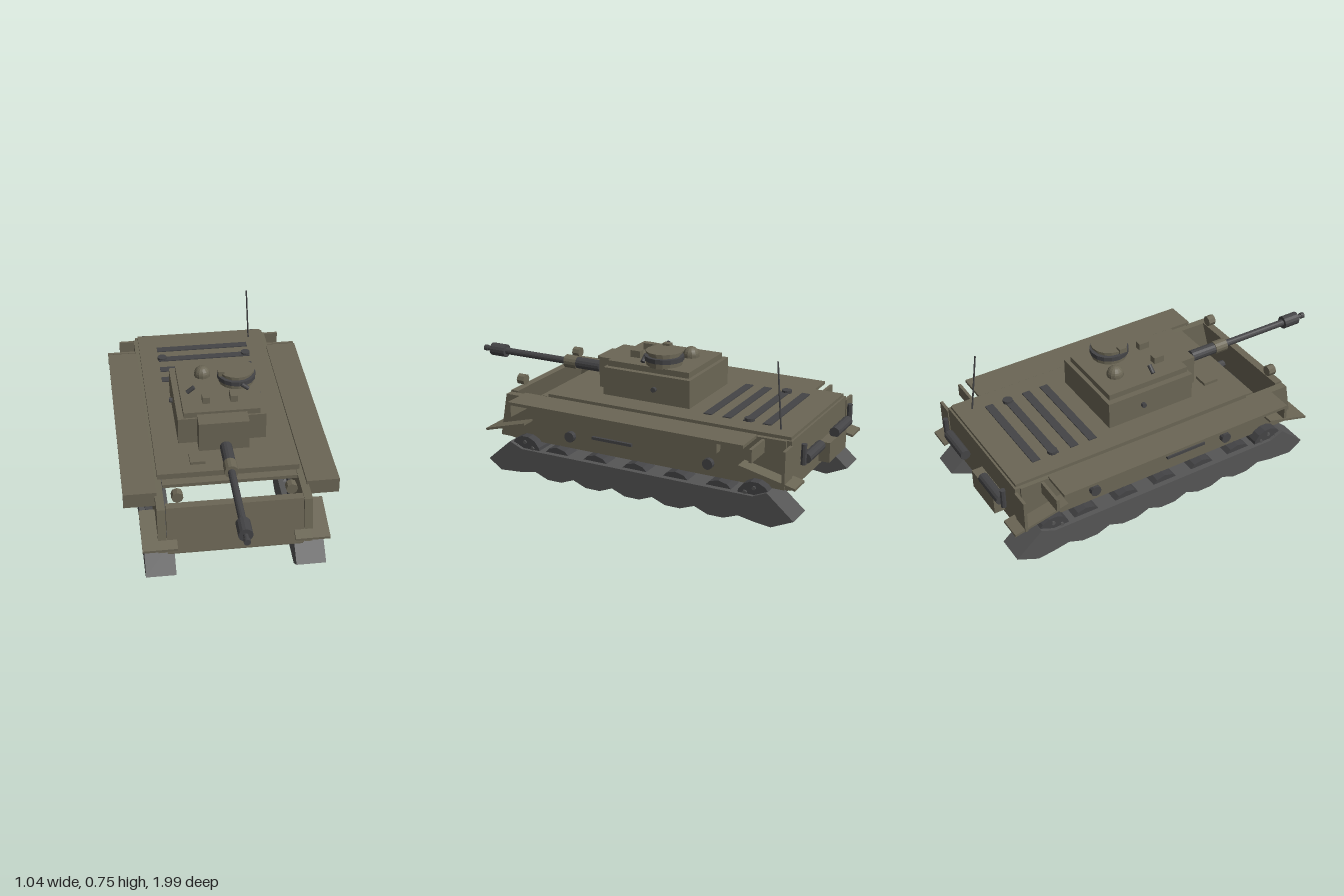
import * as THREE from 'three';

const mat = (color) => new THREE.MeshStandardMaterial({ color, flatShading: true, side: THREE.DoubleSide });

export function createModel() {
  const model = new THREE.Group();
  const olive = mat(0x6b6655), dark = mat(0x444446), track = mat(0x555555);

  const add = (name, geo, material, x = 0, y = 0, z = 0) => {
    const m = new THREE.Mesh(geo, material);
    m.name = name;
    m.position.set(x, y, z);
    model.add(m);
    return m;
  };
  // box given by its limits on each axis
  const box = (name, [x0, x1], [y0, y1], [z0, z1], material = olive) =>
    add(name, new THREE.BoxGeometry(x1 - x0, y1 - y0, z1 - z0), material,
      (x0 + x1) / 2, (y0 + y1) / 2, (z0 + z1) / 2);
  const cyl = (name, r, len, axis, pos, material = dark, sides = 12, r2 = r) => {
    const g = new THREE.CylinderGeometry(r, r2, len, sides);
    if (axis === 'x') g.rotateZ(-Math.PI / 2);
    if (axis === 'z') g.rotateX(Math.PI / 2);
    return add(name, g, material, ...pos);
  };
  // side profile of [z, y] points extruded from x0 to x1
  const profile = (name, pts, x0, x1, material = olive) => {
    const shape = new THREE.Shape(pts.map(([z, y]) => new THREE.Vector2(-z, y)));
    const g = new THREE.ExtrudeGeometry(shape, { depth: x1 - x0, bevelEnabled: false });
    g.rotateY(Math.PI / 2);
    return add(name, g, material, x0, 0, 0);
  };
  // same part on both sides, x limits given for the left side
  const sides = (fn) => [1, -1].forEach((s) => fn(s, (a, b) => (s > 0 ? [a, b] : [-b, -a])));

  // hull shell, open underneath and behind the nose plate
  sides((s, span) => {
    profile('hullSide', [[0.655, 0.18], [0.615, 0.405], [-0.9, 0.42], [-0.9, 0.18]], ...span(0.33, 0.37));
  });
  profile('nosePlate', [[0.655, 0.175], [0.615, 0.413], [0.575, 0.413], [0.63, 0.175]], -0.327, 0.327);
  profile('lowerNosePlate', [[0.65, 0.18], [0.43, 0.14], [0.43, 0.12], [0.65, 0.165]], -0.325, 0.325);
  box('driverPlate', [-0.327, 0.327], [0.395, 0.413], [0.39, 0.435]);
  box('deck', [-0.347, 0.347], [0.405, 0.435], [-0.915, 0.38]);
  box('rearPlate', [-0.36, 0.36], [0.18, 0.42], [-0.925, -0.895]);
  profile('rearLowerPlate', [[-0.92, 0.18], [-0.9, 0.18], [-0.84, 0.13], [-0.86, 0.12]], -0.29, 0.29);
  box('rearStowageBox', [-0.23, 0], [0.2, 0.3], [-0.98, -0.92]);

  // mudguards and hull side fittings
  sides((s, span) => {
    box('sideFender', span(0.36, 0.52), [0.41, 0.425], [-0.755, 0.505]);
    box('frontFenderFlap', span(0.36, 0.52), [0.348, 0.412], [0.49, 0.505]);
    box('rearFenderFlap', span(0.37, 0.52), [0.348, 0.412], [-0.797, -0.782]);
    profile('frontMudguard', [[0.695, 0.22], [0.695, 0.232], [0.465, 0.295], [0.465, 0.283]], ...span(0.36, 0.447));
    profile('frontMudguardLip', [[0.695, 0.22], [0.695, 0.232], [0.63, 0.25], [0.63, 0.238]], ...span(0.28, 0.36));
    profile('rearMudguard', [[-0.98, 0.22], [-0.98, 0.232], [-0.7, 0.295], [-0.7, 0.283]], ...span(0.33, 0.447));
    box('rearCornerPlate', span(0.36, 0.45), [0.23, 0.4], [-0.93, -0.915]);
    box('sideLocker', span(0.365, 0.41), [0.315, 0.37], [-0.575, -0.44]);
    box('towRod', span(0.365, 0.385), [0.253, 0.267], [-0.11, 0.11], dark);
    for (const z of [0.235, -0.52]) cyl('sideCap', 0.027, 0.08, 'x', [s * 0.355, 0.245, z]);
    cyl('headlight', 0.028, 0.04, 'z', [s * 0.27, 0.46, 0.58], olive, 8);
    cyl('muffler', 0.026, 0.19, 'x', [s * 0.19, 0.32, -0.965]);
    cyl('exhaustStub', 0.014, 0.1, 'y', [s * 0.31, 0.35, -0.965], dark, 8);
  });

  // running gear: solid track band sagging between the wheels
  const wheelZ = [0.3, 0.08, -0.14, -0.36, -0.585];
  const band = [[0.69, 0.065], [0.56, 0.18], [0.49, 0.15], [-0.77, 0.15], [-0.84, 0.18], [-0.975, 0.065],
    [-0.865, 0.015], [-0.78, 0.025], [-0.7, 0.04]];
  [...wheelZ].reverse().forEach((z) => band.push([z - 0.04, 0.012], [z + 0.04, 0.012], [z + 0.11, 0.04]));
  band.push([0.49, 0.025], [0.62, 0.015]);
  sides((s, span) => {
    profile('track', band, ...span(0.29, 0.435), track);
    for (const z of wheelZ) cyl('roadWheel', 0.09, 0.09, 'x', [s * 0.362, 0.092, z]);
    for (const z of [0.48, -0.77]) {
      cyl('sprocket', 0.088, 0.11, 'x', [s * 0.362, 0.127, z], dark, 14);
      for (const dz of [-0.045, 0, 0.045]) cyl('sprocketBolt', 0.01, 0.125, 'x', [s * 0.362, 0.185 - Math.abs(dz) * 0.6, z + dz], track, 6);
    }
  });

  // turret body
  box('turretBody', [-0.22, 0.22], [0.43, 0.576], [-0.34, 0.135]);
  box('turretRoof', [-0.19, 0.19], [0.57, 0.605], [-0.32, 0.125]);
  box('mantletPlate', [-0.125, 0.125], [0.432, 0.592], [0.12, 0.212]);
  sides((s) => {
    cyl('turretPin', 0.013, 0.03, 'x', [s * 0.222, 0.505, -0.15], dark, 8);
    box('periscope', [s * 0.07 - 0.018, s * 0.07 + 0.018], [0.605, 0.64], [0.0, 0.055]);
    cyl('smokeTube', 0.011, 0.045, 'y', [s * 0.137, 0.625, -0.05]).rotation.z = s * 0.9;
  });
  add('ventDome', new THREE.SphereGeometry(0.042, 12, 6, 0, Math.PI * 2, 0, Math.PI / 2), olive, -0.06, 0.615, -0.21);
  cyl('ventBase', 0.042, 0.02, 'y', [-0.06, 0.608, -0.21], olive);

  // commander's cupola: radius, bottom, top, material
  for (const [name, r, y0, y1, m] of [
    ['cupolaBase', 0.09, 0.6, 0.627, olive], ['cupolaRing', 0.098, 0.627, 0.65, dark],
    ['cupolaNeck', 0.08, 0.65, 0.664, olive], ['cupolaLid', 0.092, 0.664, 0.674, olive],
  ]) cyl(name, r, y1 - y0, 'y', [0.107, (y0 + y1) / 2, -0.145], m, 16);
  box('cupolaSight', [0.01, 0.04], [0.66, 0.685], [-0.14, -0.1]);

  // gun along +z: radius, start, end
  for (const [name, r, z0, z1, m] of [
    ['gunSleeve', 0.03, 0.275, 0.45, dark], ['gunCollar', 0.034, 0.415, 0.485, olive],
    ['gunBarrel', 0.018, 0.45, 0.87, dark], ['muzzleBrake', 0.034, 0.86, 0.95, dark],
    ['muzzleNeck', 0.012, 0.95, 0.985, dark], ['muzzleTip', 0.016, 0.98, 1.0, dark],
  ]) cyl(name, r, z1 - z0, 'z', [0, 0.498, (z0 + z1) / 2], m, 14);

  // deck fittings
  for (const z of [-0.755, -0.655, -0.55, -0.45]) box('engineLouver', [-0.25, 0.25], [0.43, 0.44], [z - 0.021, z + 0.021], dark);
  sides((s) => cyl('fillerCap', 0.025, 0.02, 'y', [s * 0.23, 0.44, -0.66]));
  box('driverHatch', [-0.18, -0.105], [0.43, 0.45], [0.24, 0.32]);
  const mast = new THREE.LineCurve3(new THREE.Vector3(0.272, 0.43, -0.835), new THREE.Vector3(0.252, 0.75, -0.8));
  add('antenna', new THREE.TubeGeometry(mast, 1, 0.004, 6), dark);

  // fittings inside the nose
  cyl('gearHousing', 0.025, 0.11, 'x', [0, 0.25, 0.54]);
  box('bowGunMount', [0.15, 0.26], [0.19, 0.22], [0.54, 0.57], dark);
  cyl('bowGun', 0.02, 0.12, 'z', [0.18, 0.215, 0.56], dark, 8);

  return model;
}
